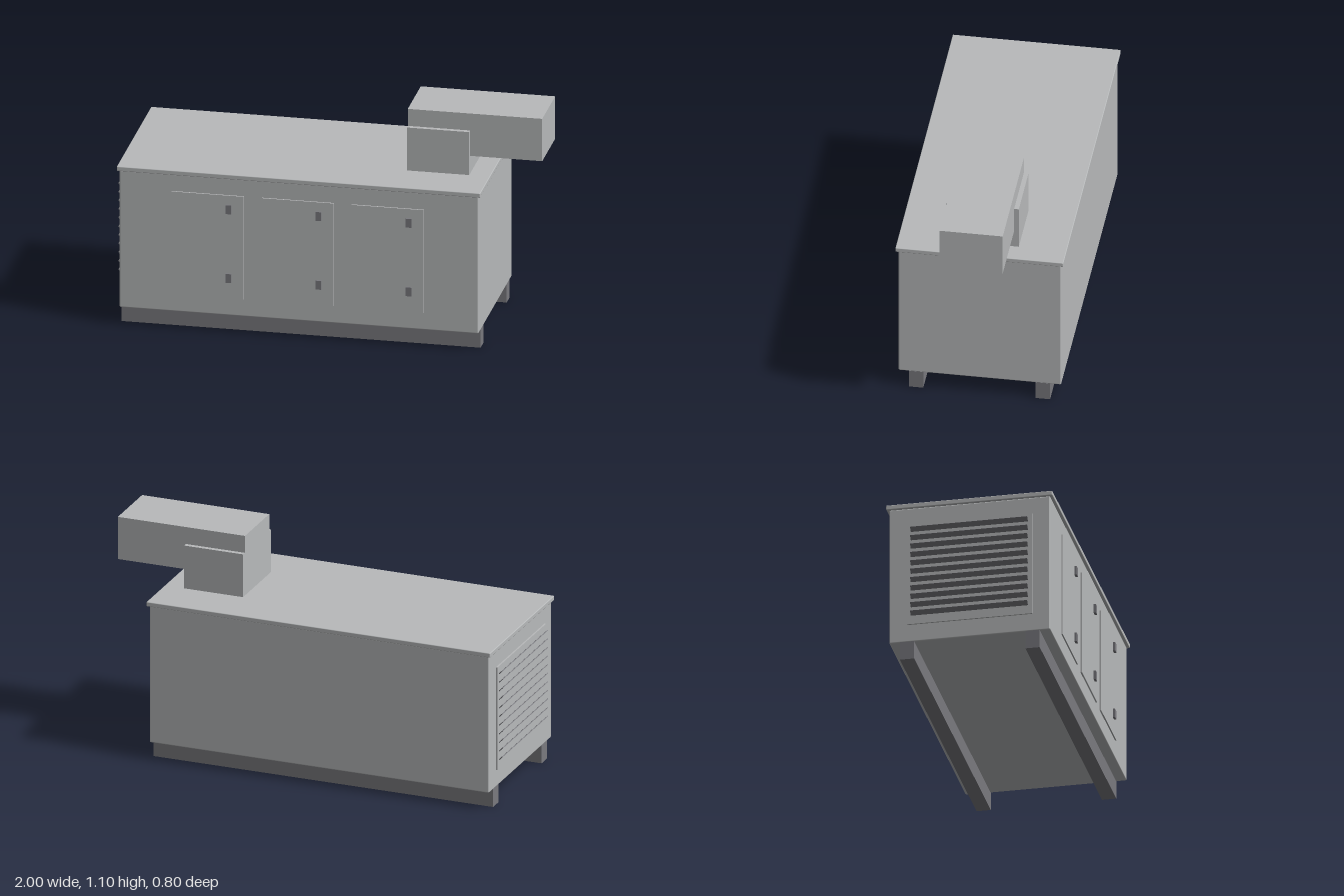
import * as THREE from 'three';
import { RoundedBoxGeometry } from 'three/addons/geometries/RoundedBoxGeometry.js';

const material = (name, color) => Object.assign(new THREE.MeshStandardMaterial({ color }), { name });

export function createModel() {
  const model = new THREE.Group();
  model.name = 'equipmentEnclosure';
  const panelGrey = material('panelGrey', 0xb8babb);
  const darkGrey = material('darkGrey', 0x7a7a7f);

  // Box given by its extents along x, y and z, with an optional small edge rounding
  function box(name, [x0, x1], [y0, y1], [z0, z1], mat, radius = 0) {
    const size = [x1 - x0, y1 - y0, z1 - z0];
    const geometry = radius
      ? new RoundedBoxGeometry(...size, 2, radius)
      : new THREE.BoxGeometry(...size);
    const mesh = new THREE.Mesh(geometry, mat);
    mesh.name = name;
    mesh.position.set((x0 + x1) / 2, (y0 + y1) / 2, (z0 + z1) / 2);
    model.add(mesh);
    return mesh;
  }

  // Housing and overhanging roof
  box('housing', [-0.972, 0.742], [0.088, 0.775], [-0.386, 0.384], panelGrey, 0.006);
  box('roof', [-0.983, 0.753], [0.774, 0.797], [-0.398, 0.397], panelGrey, 0.004);

  // Base skids
  for (const z of [-0.3, 0.3]) {
    box('skid', [-0.972, 0.742], [0, 0.09], [z - 0.034, z + 0.034], darkGrey);
  }

  // Three front doors, each with two latches
  for (const x of [-0.55, -0.12, 0.31]) {
    box('door', [x - 0.172, x + 0.172], [0.175, 0.69], [0.38, 0.391], panelGrey);
    for (const y of [0.279, 0.623]) {
      box('latch', [x + 0.088, x + 0.115], [y - 0.022, y + 0.022], [0.388, 0.402], darkGrey);
    }
  }

  // Louvred intake on the right end
  box('louvrePanel', [-0.98, -0.97], [0.175, 0.69], [-0.3, 0.3], panelGrey);
  for (let i = 0; i < 11; i++) {
    const y = 0.228 + i * 0.0432;
    const slat = box('louvreSlat', [-1.002, -0.976], [y - 0.002, y + 0.002], [-0.28, 0.28], darkGrey);
    slat.rotation.z = -Math.PI / 4;
    slat.position.x = -0.989;
  }

  // Exhaust duct: riser and horizontal outlet
  box('ductRiser', [0.357, 0.654], [0.79, 1.012], [-0.172, 0.172], panelGrey);
  box('ductOutlet', [0.356, 0.998], [0.885, 1.097], [-0.15, 0.15], panelGrey);

  return model;
}
